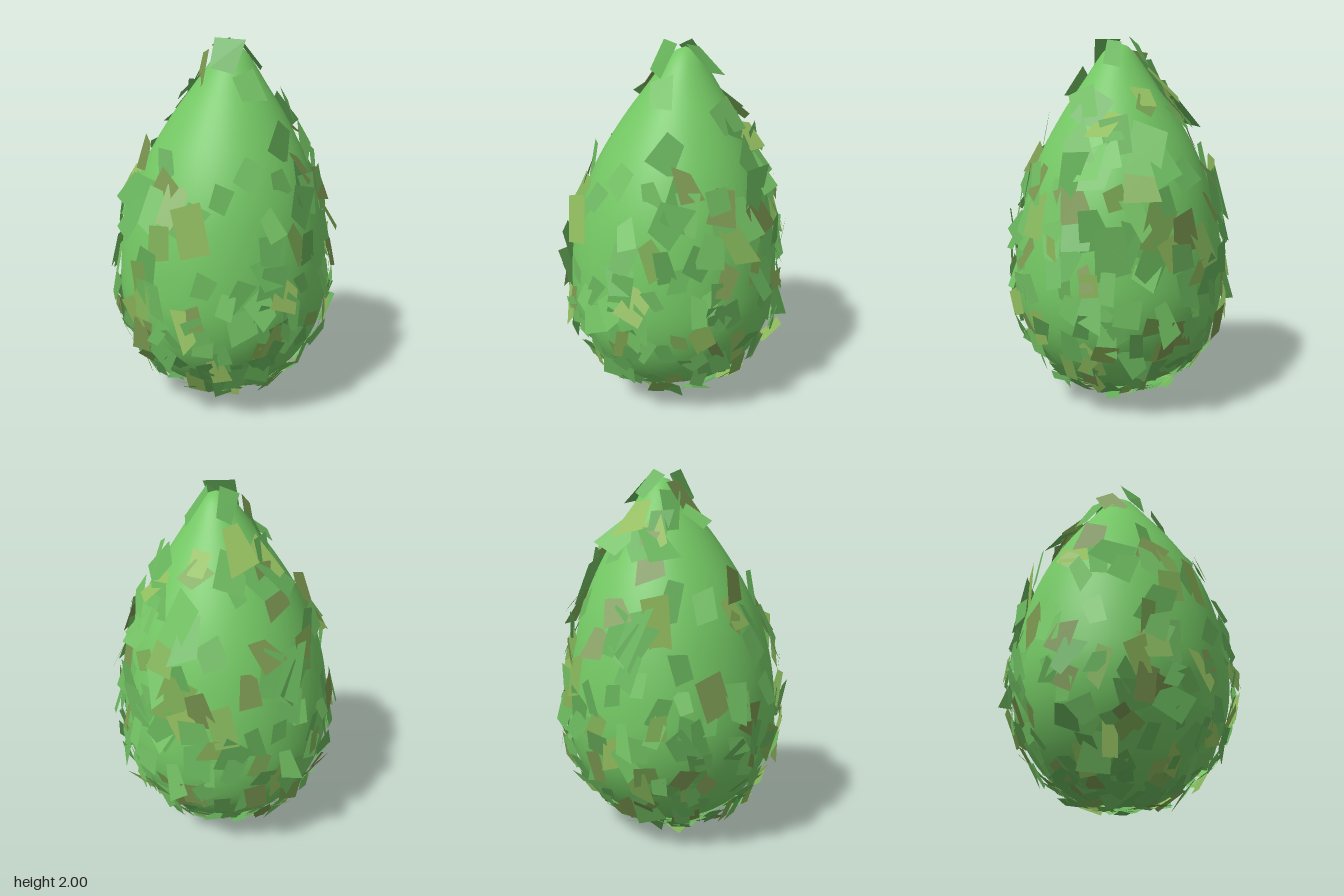
import * as THREE from 'three';

// Small seeded generator
function makeRandom(seed) {
  return () => {
    seed = (seed * 1664525 + 1013904223) % 4294967296;
    return seed / 4294967296;
  };
}

// Egg profile: radius and height from the base to the tip
const profile = new THREE.SplineCurve([
  [0, 0.05], [0.14, 0.065], [0.26, 0.11], [0.41, 0.215], [0.53, 0.4], [0.582, 0.6],
  [0.58, 0.8], [0.552, 1.0], [0.502, 1.2], [0.42, 1.4], [0.305, 1.6], [0.195, 1.76],
  [0.112, 1.88], [0.062, 1.94], [0, 1.965],
].map(([r, y]) => new THREE.Vector2(r, y)));

// The egg sits slightly to one side and its narrow end leans
function lean(p) {
  const k = Math.max(0, p.y - 1) ** 1.2;
  p.x += 0.01 + 0.06 * k;
  p.z -= 0.03 * k;
  return p;
}

function surfacePoint(t, angle) {
  const q = profile.getPointAt(t);
  return lean(new THREE.Vector3(q.x * Math.sin(angle), q.y, q.x * Math.cos(angle)));
}

function createBody() {
  const points = profile.getSpacedPoints(48);
  points.forEach((p) => { p.x = Math.max(p.x, 0); });
  const geometry = new THREE.LatheGeometry(points, 64);
  const pos = geometry.attributes.position;
  const v = new THREE.Vector3();
  for (let i = 0; i < pos.count; i++) {
    lean(v.fromBufferAttribute(pos, i));
    pos.setXYZ(i, v.x, v.y, v.z);
  }
  const body = new THREE.Mesh(geometry, new THREE.MeshStandardMaterial({ color: 0x74c864 }));
  body.name = 'body';
  return body;
}

// Adds one uneven four-cornered leaf lying almost flat on the body
function addLeaf(list, random, t, angle, size) {
  const spread = (a) => (random() * 2 - 1) * a;
  const centre = surfacePoint(t, angle);
  const up = profile.getTangentAt(t);
  const side = new THREE.Vector3(Math.cos(angle), 0, -Math.sin(angle));
  const along = new THREE.Vector3(up.x * Math.sin(angle), up.y, up.x * Math.cos(angle)).normalize();
  const normal = new THREE.Vector3().crossVectors(side, along);
  // Random turn in the plane, then a slight tilt out of it
  const turn = spread(0.55);
  side.applyAxisAngle(normal, turn);
  along.applyAxisAngle(normal, turn);
  const tiltX = spread(0.32);
  const tiltY = spread(0.32);
  const lift = 0.012 + 0.026 * random();
  const w = size * (0.55 + 0.35 * random());
  const h = size * (0.85 + 0.5 * random());
  const corners = [[-1, -1], [1, -1], [1, 1], [-1, 1]].map(([a, b]) => {
    const u = w * (a + spread(0.45));
    const v = h * (b + spread(0.35));
    const p = centre.clone().addScaledVector(side, u).addScaledVector(along, v)
      .addScaledVector(normal, lift + u * tiltX + v * tiltY);
    p.y = THREE.MathUtils.clamp(p.y, 0, 2);
    return p;
  });
  for (const i of [0, 1, 2, 0, 2, 3]) list.push(...corners[i].toArray());
}

export function createModel() {
  const group = new THREE.Group();
  group.add(createBody());

  const random = makeRandom(17);
  const colors = [0x74c264, 0x68b45c, 0x80b058, 0x92bd5e, 0x7a9650];
  const shares = [0.36, 0.7, 0.82, 0.91, 1];
  const lists = colors.map(() => []);
  const pickList = () => {
    const r = random();
    return lists[shares.findIndex((s) => r <= s)];
  };

  // Leaves are small and dense at the base, larger and sparser towards the tip
  const count = 560;
  for (let i = 0; i < count; i++) {
    const t = 0.03 + 0.86 * ((i + 0.5) / count) ** 1.15;
    const angle = i * 2.39996 + (random() - 0.5) * 0.7;
    // Fewer leaves under the base, and a mostly bare top, least so at the back right
    const under = 1 - THREE.MathUtils.smoothstep(t, -0.05, 0.2);
    const bare = THREE.MathUtils.smoothstep(t, 0.3, 0.75) * (0.72 - 0.22 * Math.cos(angle - 2.2));
    if (random() < Math.max(bare, under)) continue;
    const size = THREE.MathUtils.lerp(0.06, 0.094, THREE.MathUtils.smoothstep(t, 0.2, 0.75));
    addLeaf(pickList(), random, t, angle, size * (0.75 + 0.45 * random()));
  }
  // Leaves around the tip
  for (const [t, angle] of [[0.955, -0.4], [0.95, 1.9], [0.955, 3.4], [0.915, -1.5]]) {
    addLeaf(pickList(), random, t, angle, 0.075);
  }

  lists.forEach((list, i) => {
    const geometry = new THREE.BufferGeometry();
    geometry.setAttribute('position', new THREE.Float32BufferAttribute(list, 3));
    geometry.computeVertexNormals();
    const leaves = new THREE.Mesh(geometry, new THREE.MeshStandardMaterial({
      color: colors[i], side: THREE.DoubleSide, flatShading: true,
    }));
    leaves.name = `leaves${i + 1}`;
    group.add(leaves);
  });
  return group;
}
